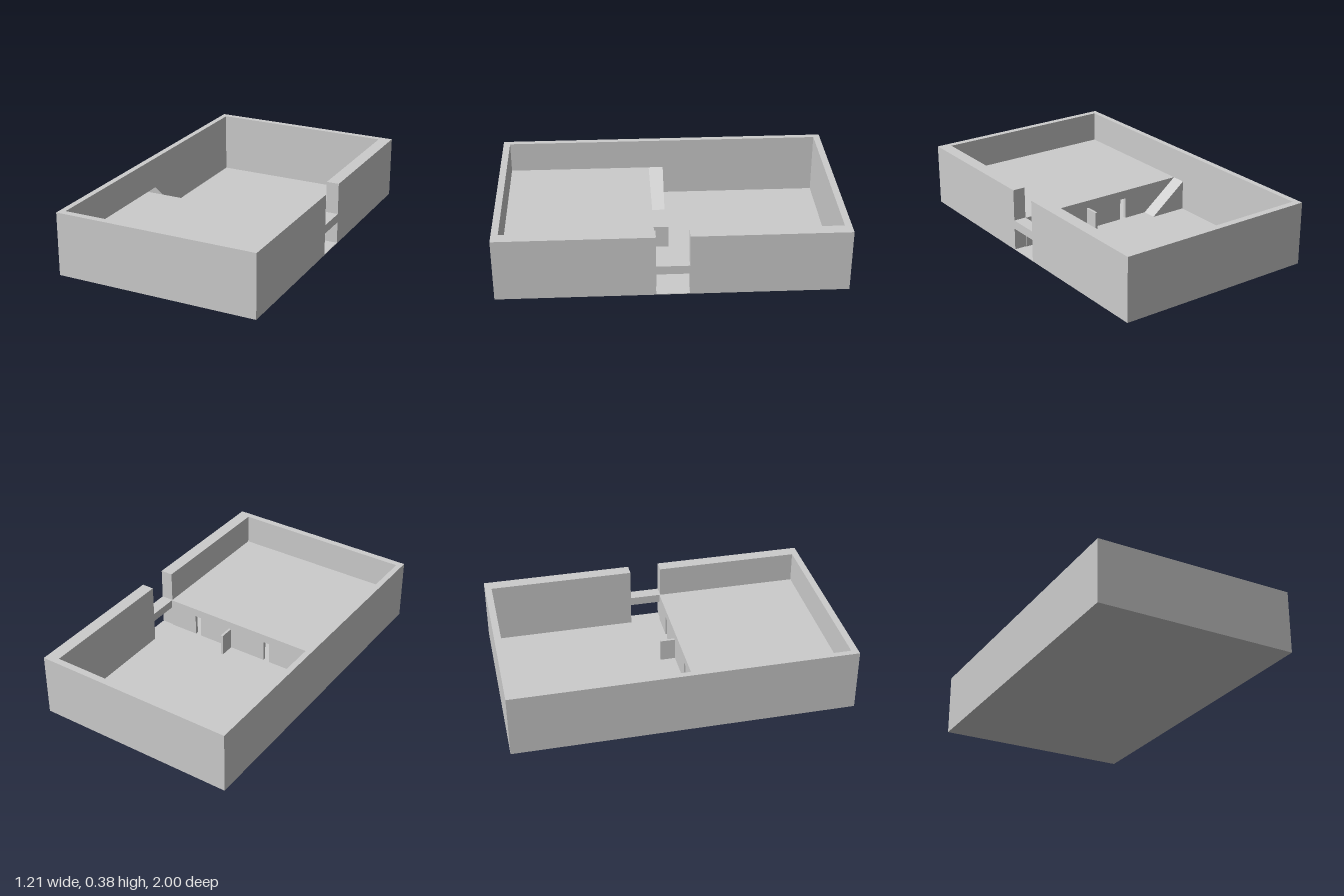
import * as THREE from 'three';

export function createModel() {
  const model = new THREE.Group();
  const material = new THREE.MeshStandardMaterial({ color: 0xcccccc, flatShading: true });

  const add = (name, geometry) => {
    const mesh = new THREE.Mesh(geometry, material);
    mesh.name = name;
    model.add(mesh);
    return mesh;
  };
  // Box given by its limits on each axis
  const block = (name, [x0, x1], [y0, y1], [z0, z1]) =>
    add(name, new THREE.BoxGeometry(x1 - x0, y1 - y0, z1 - z0))
      .position.set((x0 + x1) / 2, (y0 + y1) / 2, (z0 + z1) / 2);

  const X = 0.605, H = 0.375;            // outer half width and wall height
  const left = 0.53, right = -0.57;      // inner wall faces
  const inner = 0.96;                    // inner half depth
  const floorTop = 0.004, slabBottom = 0.135, slabTop = 0.187;
  const edge = 0.09, gap = 0.095;        // upper floor edge, side gap half width

  block('floor', [-X, X], [0, floorTop], [-1, 1]);

  // Outer walls
  block('frontWall', [-X, X], [floorTop, H], [inner, 1]);
  block('backWall', [-X, X], [floorTop, H], [-1, -inner]);
  block('closedSideWall', [-X, right], [floorTop, H], [-inner, inner]);

  // Side wall with an entrance below and a notch above a bridging lintel
  block('entranceWallFront', [left, X], [floorTop, H], [gap, inner]);
  block('entranceWallBack', [left, X], [floorTop, H], [-inner, -gap]);
  block('entranceLintel', [left, X], [slabBottom, slabTop], [-gap, gap]);

  // Raised floor over the front half
  block('upperFloor', [right, left], [slabBottom, slabTop], [edge, inner]);

  // Partition under the raised floor, split by two narrow openings
  [[right, -0.19], [-0.15, 0.31], [0.35, left]].forEach((span) =>
    block('partitionWall', span, [floorTop, slabBottom], [edge, edge + 0.02]));

  // Short panel standing out from the partition
  block('sidePanel', [0.085, 0.1], [floorTop, 0.14], [0, edge]);

  // Ramp up to the raised floor
  const profile = new THREE.Shape([
    new THREE.Vector2(right, floorTop),
    new THREE.Vector2(-0.34, floorTop),
    new THREE.Vector2(right, slabTop),
  ]);
  add('ramp', new THREE.ExtrudeGeometry(profile, { depth: edge, bevelEnabled: false }));

  return model;
}
